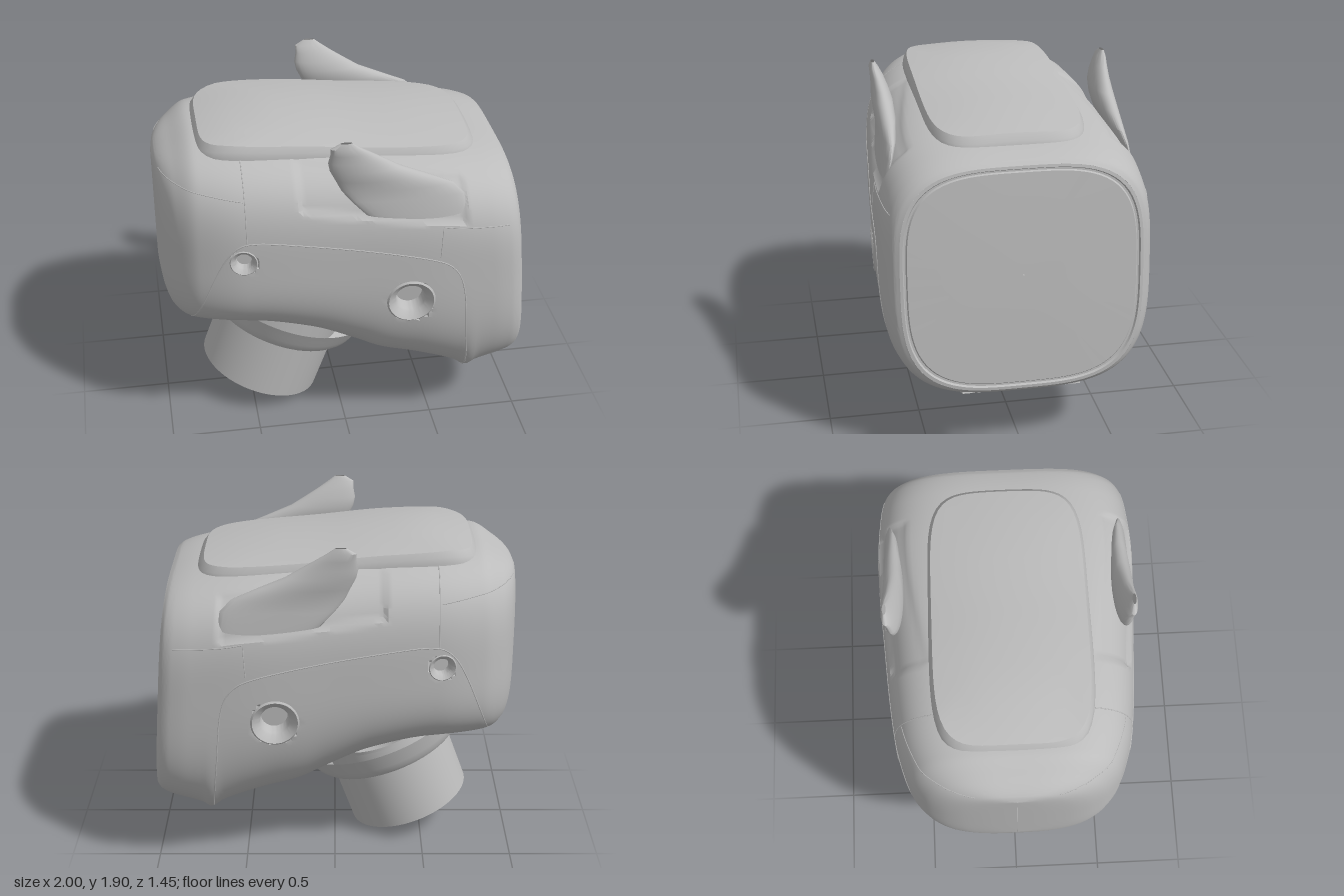
import * as THREE from 'three';
import { toCreasedNormals } from 'three/addons/utils/BufferGeometryUtils.js';

const grey = new THREE.MeshStandardMaterial({ color: 0xbcbcbc, side: THREE.DoubleSide });
grey.name = 'grey shell';
const { smoothstep, clamp } = THREE.MathUtils;

// Smooth interpolation through [x, value] pairs without overshoot
function curve(keys) {
  const slope = keys.map((k, i) => {
    const a = keys[i - 1], b = keys[i + 1];
    if (!a) return (b[1] - k[1]) / (b[0] - k[0]);
    if (!b) return (k[1] - a[1]) / (k[0] - a[0]);
    const p = (k[1] - a[1]) / (k[0] - a[0]), q = (b[1] - k[1]) / (b[0] - k[0]);
    return p * q <= 0 ? 0 : (2 * p * q) / (p + q);
  });
  return (x) => {
    let i = 0;
    while (i < keys.length - 2 && x > keys[i + 1][0]) i++;
    const [x0, y0] = keys[i], [x1, y1] = keys[i + 1], h = x1 - x0;
    const t = clamp((x - x0) / h, 0, 1), t2 = t * t, t3 = t2 * t;
    return (2 * t3 - 3 * t2 + 1) * y0 + (t3 - 2 * t2 + t) * h * slope[i]
      + (3 * t2 - 2 * t3) * y1 + (t3 - t2) * h * slope[i + 1];
  };
}

// Skin through closed rings of equal point count
function loft(rings, crease = 0.6) {
  const n = rings[0].length, pos = rings.flat(2), index = [];
  for (let i = 0; i < rings.length - 1; i++) {
    for (let j = 0; j < n; j++) {
      const a = i * n + j, b = i * n + ((j + 1) % n), c = a + n, d = b + n;
      index.push(a, c, b, b, c, d);
    }
  }
  const g = new THREE.BufferGeometry();
  g.setAttribute('position', new THREE.Float32BufferAttribute(pos, 3));
  g.setIndex(index);
  return toCreasedNormals(g, crease);
}

// Head profiles along x: half width, top, bottom, widest line, squareness above and below it
const width = curve([[-1, 0.001], [-0.998, 0.1], [-0.995, 0.17], [-0.98, 0.31], [-0.95, 0.41], [-0.9, 0.49], [-0.8, 0.57],
  [-0.56, 0.64], [0, 0.69], [0.5, 0.72], [0.78, 0.71], [0.88, 0.695], [0.93, 0.67], [0.95, 0.64]]);
const top = curve([[-1, 1.6], [-0.98, 1.64], [-0.9, 1.7], [-0.78, 1.76], [-0.5, 1.77], [0, 1.745],
  [0.5, 1.7], [0.8, 1.655], [0.92, 1.62], [0.95, 1.6]]);
const bottom = curve([[-1, 0.95], [-0.98, 0.85], [-0.94, 0.76], [-0.86, 0.71], [-0.5, 0.69], [-0.2, 0.62],
  [0.05, 0.5], [0.2, 0.42], [0.4, 0.36], [0.6, 0.28], [0.66, 0.235], [0.7, 0.265], [0.92, 0.355], [0.95, 0.38]]);
const middle = curve([[-1, 1.2], [0.5, 1.14], [0.95, 1.02]]);
const powerAbove = curve([[-1, 3.3], [-0.4, 3.5], [0.6, 3.5], [0.95, 3.5]]);
const powerBelow = curve([[-1, 3.3], [0.3, 3.1], [0.66, 3.3], [0.95, 3.4]]);
const lean = (x) => 0.075 * smoothstep(x, 0.2, 0.9);

// Side surface z at a point of the side view
function sideZ(x, y) {
  let u = x;
  for (let i = 0; i < 4; i++) u = x + lean(u) * (y - 1);
  u = clamp(u, -1, 0.95);
  const m = middle(u), up = y > m, p = up ? powerAbove(u) : powerBelow(u);
  const r = Math.min(1, Math.abs(y - m) / (up ? top(u) - m : m - bottom(u)));
  return width(u) * Math.pow(1 - Math.pow(r, p), 1 / p);
}

const sockets = [['largeSocket', 0.32, 0.95, 0.12], ['smallSocket', -0.57, 1.24, 0.068]]; // x, y, radius
function dent(x, y, z) {
  if (Math.abs(z) < 0.35) return 0;
  let d = 0;
  for (const [, cx, cy, r] of sockets) d += 1.15 * r * (1 - smoothstep(Math.hypot(x - cx, y - cy), r * 0.8, r));
  // shallow bed around the fins
  const inX = smoothstep(x, -0.28, -0.25) * (1 - smoothstep(x, 0.59, 0.62));
  const lift = y - (1.47 - 0.13 * x);
  const inY = smoothstep(lift, 0, 0.025) * (1 - smoothstep(lift, 0.2, 0.23));
  return d + 0.02 * inX * inY;
}

function headRing(u, count = 180, scale = 1, push = 0) {
  const ring = [], m = middle(u);
  for (let j = 0; j < count; j++) {
    const a = (j / count) * Math.PI * 2, c = Math.cos(a), s = Math.sin(a);
    const p = s > 0 ? powerAbove(u) : powerBelow(u);
    const r = scale / Math.pow(Math.abs(c) ** p + Math.abs(s) ** p, 1 / p);
    const y = m + r * s * (s > 0 ? top(u) - m : m - bottom(u));
    const z = r * c * width(u), x = u - lean(u) * (y - 1) + push;
    ring.push([x, y, z - Math.sign(z) * dent(x, y, z)]);
  }
  return ring;
}

// Raised top plate: rounded rectangle rings following a sloping crown
const crown = curve([[-0.8, 1.77], [-0.7, 1.815], [-0.58, 1.835], [-0.3, 1.825], [0.1, 1.785], [0.62, 1.735], [0.77, 1.7]]);
function topPlateRing(scale, drop) {
  const ring = [], n = 5;
  for (let j = 0; j < 96; j++) {
    const a = (j / 96) * Math.PI * 2, c = Math.cos(a), s = Math.sin(a);
    const r = scale / Math.pow(Math.abs(c) ** n + Math.abs(s) ** n, 1 / n);
    const x = -0.015 + r * c * 0.77, z = r * s * 0.43;
    ring.push([x, crown(x) - 0.2 * z * z - drop, z]);
  }
  return ring;
}

// Swept fin levels: y, rear x, front x, centre z, half thickness
const finLevels = [[1.4, 0.25, 0.6, 0.665, 0.015], [1.48, 0.08, 0.61, 0.65, 0.025], [1.56, 0, 0.6, 0.63, 0.035],
  [1.62, -0.05, 0.54, 0.615, 0.045], [1.68, -0.08, 0.4, 0.61, 0.055], [1.74, -0.11, 0.26, 0.612, 0.055],
  [1.79, -0.12, 0.18, 0.618, 0.045], [1.84, -0.11, 0.1, 0.628, 0.035], [1.88, -0.11, 0.04, 0.64, 0.025], [1.91, -0.06, 0, 0.645, 0.01]];
function finRings(side) {
  return finLevels.map(([y, x0, x1, z, h]) => Array.from({ length: 32 }, (_, j) => {
    const a = (j / 32) * Math.PI * 2;
    return [(x0 + x1) / 2 + ((x1 - x0) / 2) * Math.cos(a), y, side * z + h * Math.sin(a)];
  }));
}

// Panel seams in the side view: name, points, tube radius
const seams = [
  ['PanelSeam', [[-0.85, 0.77], [-0.79, 0.95], [-0.7, 1.18], [-0.62, 1.31], [-0.52, 1.355], [-0.3, 1.34], [0.1, 1.28],
    [0.42, 1.21], [0.55, 1.14], [0.61, 1], [0.64, 0.7], [0.68, 0.34]], 0.004],
  ['RearSeam', [[-0.55, 1.73], [-0.55, 1.55], [-0.55, 1.36]], 0.003],
  ['RearTopSeam', [[-0.97, 1.62], [-0.8, 1.61], [-0.56, 1.58]], 0.003],
  ['FrontSeam', [[0.47, 1.22], [0.475, 1.3], [0.48, 1.39]], 0.003],
  ['BrowSeam', [[0.48, 1.4], [0.6, 1.38], [0.85, 1.36]], 0.003],
];

export function createModel() {
  const model = new THREE.Group();
  const add = (name, geometry, parent = model) => {
    const mesh = new THREE.Mesh(geometry, grey);
    mesh.name = name;
    parent.add(mesh);
    return mesh;
  };
  const lathe = (pts, scale = 1) => toCreasedNormals(
    new THREE.LatheGeometry(pts.map(([r, y]) => new THREE.Vector2(r * scale, y * scale)), 64), 0.5);

  // Head shell, finely spaced at both ends
  const rings = [];
  for (let i = 0; i <= 120; i++) rings.push(headRing(-1 + 1.95 * (1 - Math.cos((Math.PI * i) / 120)) / 2));
  add('headShell', loft(rings));

  // Front face with a groove around it
  add('face', loft([[1, 0], [0.975, 0.002], [0.965, -0.008], [0.95, -0.008], [0.94, 0], [0.6, 0.005], [0.3, 0.008], [0.005, 0.009]]
    .map(([s, p]) => headRing(0.95, 120, s, p)), 0.5));

  add('topPlate', loft([[1, 0.15], [1, 0.06], [0.985, 0.03], [0.95, 0.003], [0.7, 0], [0.4, 0], [0.2, 0], [0.005, 0]]
    .map(([s, d]) => topPlateRing(s, d)), 0.5));

  const chin = add('chinPlate', new THREE.BoxGeometry(0.15, 0.016, 0.64));
  chin.position.set(0.865, 0.32, 0);
  chin.rotation.z = 0.4;

  // Neck collar and open pipe on a tilted axis
  const neck = new THREE.Group();
  neck.name = 'neck';
  neck.position.set(-0.44, 0.13, 0);
  neck.rotation.z = -0.35;
  model.add(neck);
  add('neckPipe', lathe([[0.32, 0.5], [0.32, 0], [0.352, 0], [0.352, 0.5]]), neck);
  add('neckCollar', lathe([[0.34, 0.39], [0.4, 0.383], [0.43, 0.392], [0.45, 0.415], [0.465, 0.45], [0.48, 0.49], [0.5, 0.54]]), neck);

  // Fins, sockets and seams on both sides
  for (const side of [1, -1]) {
    const label = side > 0 ? 'front' : 'back';
    add(label + 'Fin', loft(finRings(side), 0.7));

    for (const [name, x, y, r] of sockets) {
      const cup = add(label + name, lathe([[0.01, -0.85], [0.6, -0.85], [0.66, -0.3], [0.72, -0.2], [0.96, 0], [1.02, 0.05], [1.1, -0.02]], r));
      const z = sideZ(x, y), e = 0.02;
      const normal = new THREE.Vector3((z - sideZ(x + e, y)) / e, (z - sideZ(x, y + e)) / e, side);
      cup.position.set(x, y, side * z);
      cup.quaternion.setFromUnitVectors(new THREE.Vector3(0, 1, 0), normal.normalize());
    }

    for (const [name, pts, r] of seams) {
      const flat = new THREE.SplineCurve(pts.map((p) => new THREE.Vector2(...p))).getPoints(40);
      const path = new THREE.CatmullRomCurve3(flat.map(({ x, y }) => new THREE.Vector3(x, y, side * sideZ(x, y))));
      add(label + name, new THREE.TubeGeometry(path, 80, r, 6));
    }
  }
  return model;
}
